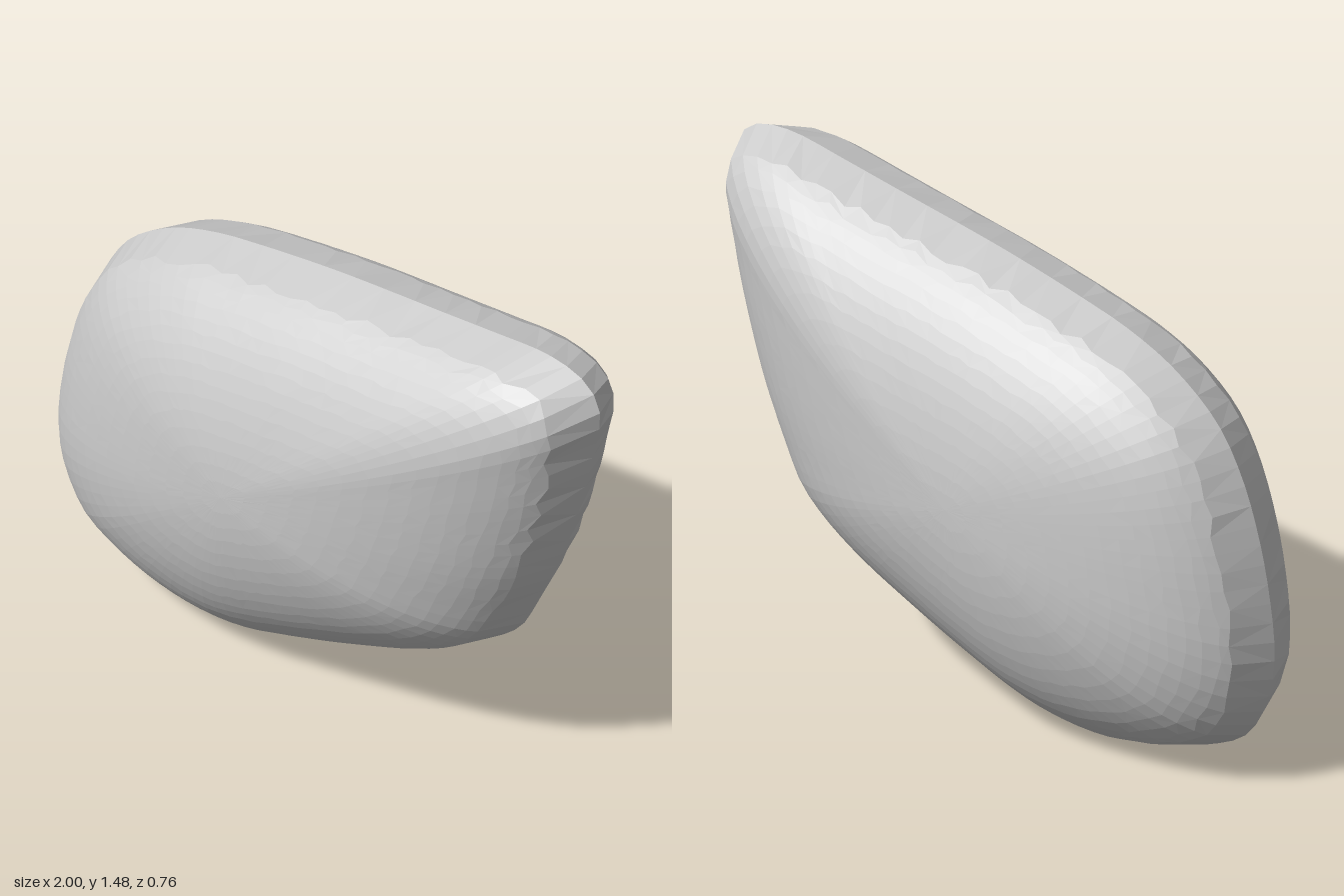
import * as THREE from 'three';
import { mergeVertices } from 'three/addons/utils/BufferGeometryUtils.js';

const CENTRE = new THREE.Vector2(-0.1, 0.72);
const DEPTH = 0.378;
const SEGMENTS = 96;
const RINGS = 16;

// Rim of the shell, counter-clockwise from the pointed tip
const RIM = [
  [1, 1.37], [0.96, 1.44], [0.88, 1.47], [0.78, 1.475], [0.6, 1.45], [0.4, 1.42],
  [0, 1.36], [-0.3, 1.3], [-0.46, 1.26], [-0.63, 1.19], [-0.79, 1.07], [-0.88, 0.93],
  [-0.94, 0.77], [-0.98, 0.6], [-1, 0.42], [-0.98, 0.28], [-0.9, 0.14], [-0.78, 0.07],
  [-0.62, 0.02], [-0.42, 0], [-0.24, 0.02], [0, 0.1], [0.25, 0.2], [0.45, 0.29],
  [0.6, 0.38], [0.7, 0.47], [0.76, 0.58], [0.85, 0.78], [0.93, 1.03], [0.975, 1.22],
];

function seeded(seed) {
  return () => {
    seed = (seed * 16807) % 2147483647;
    return seed / 2147483647 - 0.5;
  };
}

// One domed valve: rings shrinking from the rim to the crown, side = +1 front, -1 back
function valveGeometry(side) {
  const curve = new THREE.CatmullRomCurve3(
    RIM.map(([x, y]) => new THREE.Vector3(x, y, 0)), true, 'centripetal');
  const rim = curve.getSpacedPoints(SEGMENTS);
  const random = seeded(side > 0 ? 17 : 91);
  const positions = [];
  const indices = [];

  for (let r = 0; r < RINGS; r++) {
    // The first ring stands well inside the rim, leaving a bevelled edge
    const angle = 1.23 * (1 - (r - 1) / (RINGS - 1));
    for (let i = 0; i < SEGMENTS; i++) {
      let s = r === 0 ? 1 : Math.sin(angle);
      if (r > 0) s += random() * (r < 3 ? 0.022 : 0.012);
      const z = r === 0 ? 0 : DEPTH * Math.sqrt(1 - s * s);
      positions.push(
        CENTRE.x + (rim[i].x - CENTRE.x) * s,
        CENTRE.y + (rim[i].y - CENTRE.y) * s,
        z * side);
    }
  }
  const crown = positions.length / 3;
  positions.push(CENTRE.x, CENTRE.y, DEPTH * side);

  const face = (a, b, c) => (side > 0 ? indices.push(a, b, c) : indices.push(a, c, b));
  for (let r = 0; r < RINGS; r++) {
    for (let i = 0; i < SEGMENTS; i++) {
      const j = (i + 1) % SEGMENTS;
      const a = r * SEGMENTS + i;
      const b = r * SEGMENTS + j;
      if (r === RINGS - 1) {
        face(a, b, crown);
        continue;
      }
      const c = b + SEGMENTS;
      const d = a + SEGMENTS;
      // Alternate the diagonal for irregular facets
      if ((i + r) % 2) { face(a, b, c); face(a, c, d); }
      else { face(a, b, d); face(b, c, d); }
    }
  }
  const geometry = new THREE.BufferGeometry();
  geometry.setAttribute('position', new THREE.Float32BufferAttribute(positions, 3));
  geometry.setIndex(indices);
  const merged = mergeVertices(geometry, 1e-5);
  merged.computeVertexNormals();
  return merged;
}

export function createModel() {
  const shell = new THREE.Group();
  shell.name = 'shell';
  const material = new THREE.MeshStandardMaterial({
    color: 0xcccccc, flatShading: true, side: THREE.DoubleSide,
  });
  for (const [name, side] of [['frontValve', 1], ['backValve', -1]]) {
    const valve = new THREE.Mesh(valveGeometry(side), material);
    valve.name = name;
    shell.add(valve);
  }
  return shell;
}
